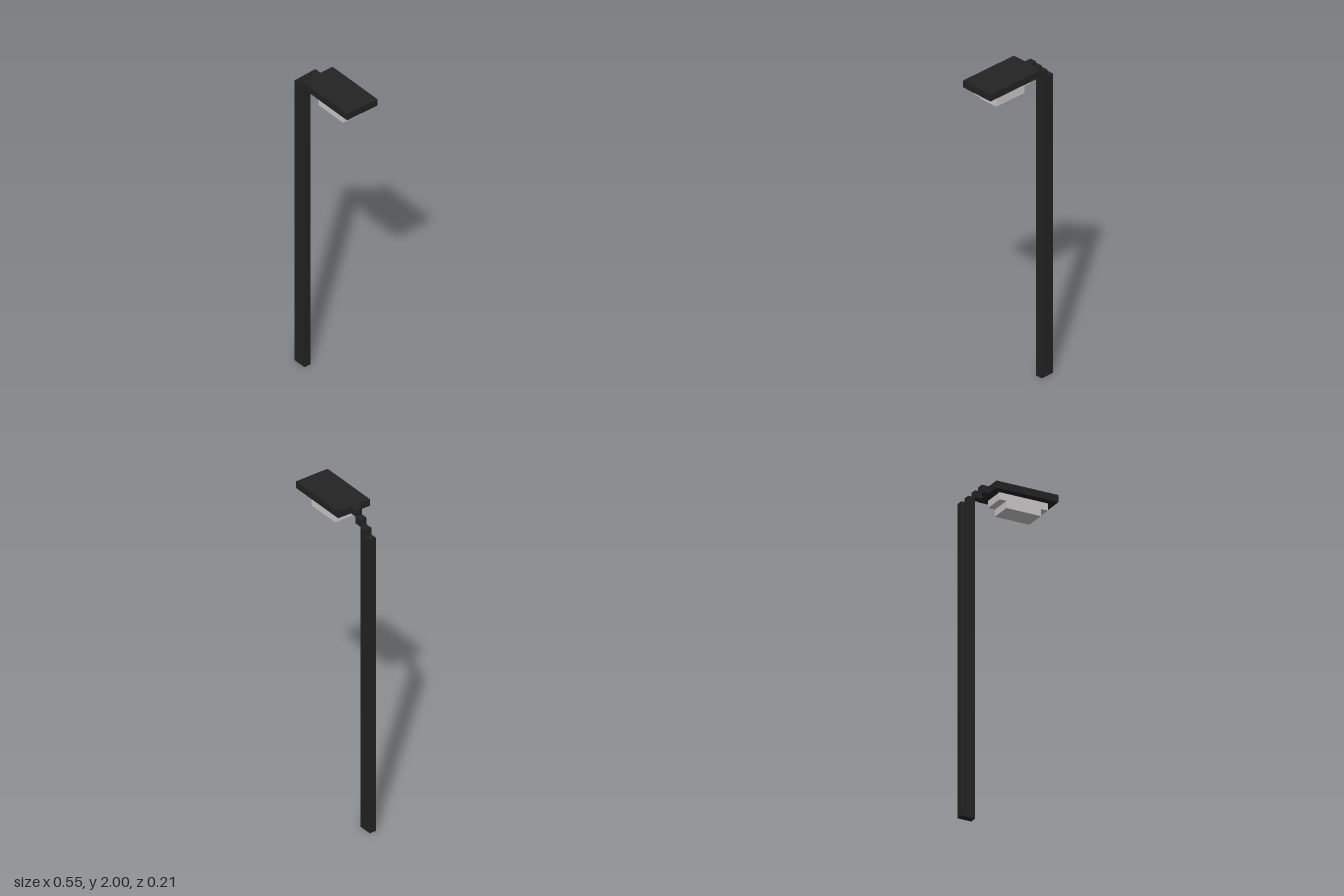
import * as THREE from 'three';

const U = 2 / 47; // one block

export function createModel() {
  const group = new THREE.Group();
  group.name = 'streetLamp';
  const black = new THREE.MeshStandardMaterial({ name: 'blackMetal', color: 0x232323 });
  const glass = new THREE.MeshStandardMaterial({ name: 'paleLamp', color: 0xcfcccd });

  // Box in block units: x from the outer pole face, y from the ground, z centred
  const block = (name, material, x0, x1, y0, y1, depth) => {
    const geometry = new THREE.BoxGeometry((x1 - x0) * U, (y1 - y0) * U, depth * U);
    const mesh = new THREE.Mesh(geometry, material);
    mesh.name = name;
    mesh.position.set(((x0 + x1) / 2 - 6.5) * U, ((y0 + y1) / 2) * U, 0);
    group.add(mesh);
  };

  block('pole', black, 0, 2, 0, 44, 1);

  // Stepped arm rising to the head
  for (let i = 0; i < 3; i++) block(`armStep${i + 1}`, black, 1 + i, 2 + i, 44 + i, 45 + i, 1);

  // Flat head with a two-tier lamp below
  block('headPlate', black, 4, 13, 46, 47, 5);
  block('lampUpper', glass, 5, 12, 45, 46, 3);
  block('lampLower', glass, 6, 11, 44, 45, 3);

  return group;
}
